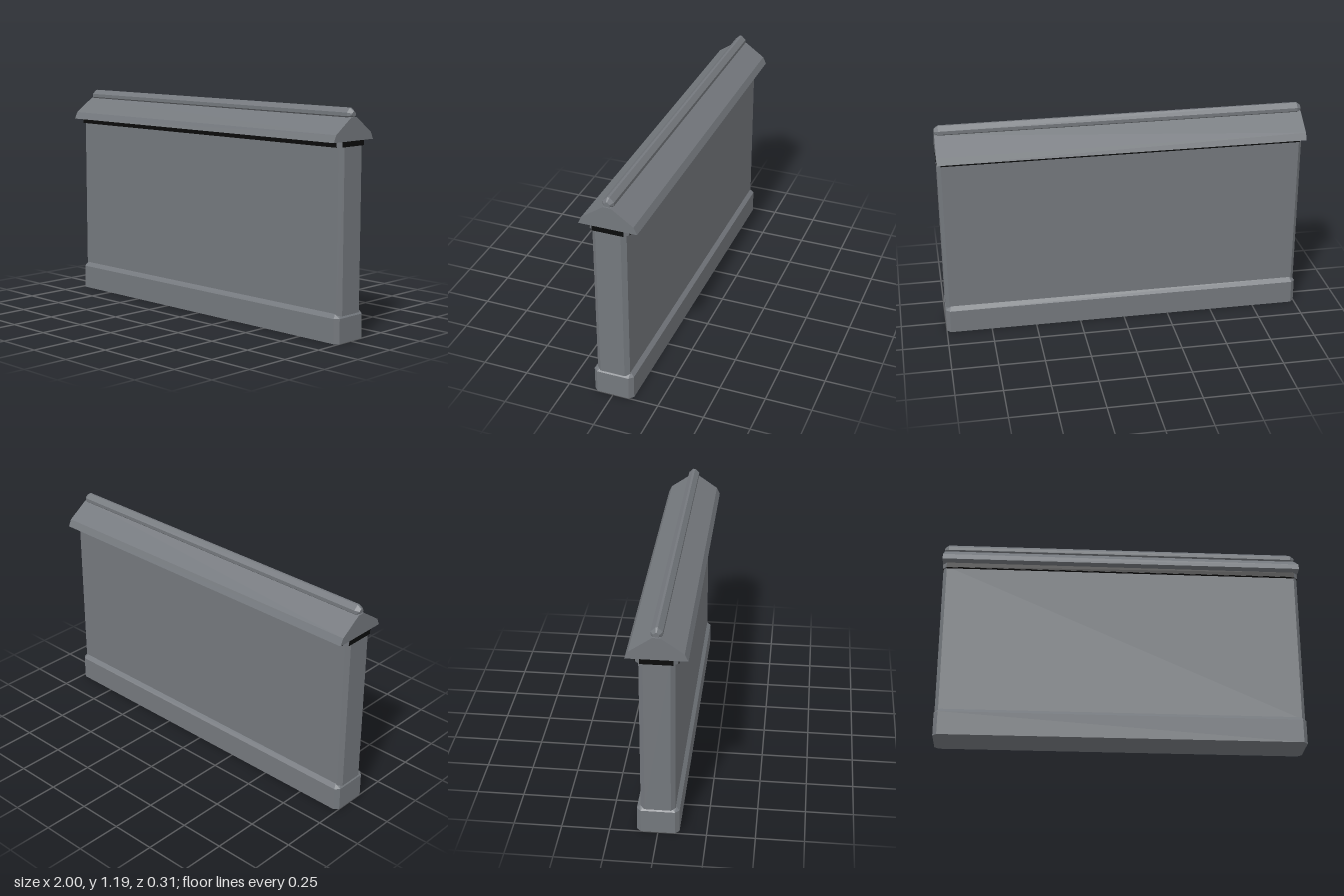
import * as THREE from 'three';
import { ConvexGeometry } from 'three/addons/geometries/ConvexGeometry.js';

const grey = new THREE.MeshStandardMaterial({ color: 0x74787d });
grey.name = 'slate grey';
const black = new THREE.MeshStandardMaterial({ color: 0x0a0b0b });
black.name = 'black trim';

// Rectangle with cut corners, lying flat at height y
function octagon(hx, hz, cx, cz, y) {
  const points = [];
  for (const sx of [-1, 1]) {
    for (const sz of [-1, 1]) {
      points.push(new THREE.Vector3(sx * (hx - cx), y, sz * hz));
      points.push(new THREE.Vector3(sx * hx, y, sz * (hz - cz)));
    }
  }
  return points;
}

// Mirrored (z, y) outline placed at x and scaled about a height
function outline(half, x, scale = 1, centreY = 0) {
  return half.flatMap(([z, y]) => [-1, 1].map((s) =>
    new THREE.Vector3(x, centreY + (y - centreY) * scale, s * z * scale)));
}

export function createModel() {
  const model = new THREE.Group();
  model.name = 'roofedWall';

  function add(name, geometry, material = grey) {
    const mesh = new THREE.Mesh(geometry, material);
    mesh.name = name;
    model.add(mesh);
    return mesh;
  }

  // Plinth with bevelled corners and top edge
  add('plinth', new ConvexGeometry([
    ...octagon(1, 0.11, 0.022, 0.022, 0),
    ...octagon(1, 0.11, 0.022, 0.022, 0.13),
    ...octagon(0.98, 0.09, 0.01, 0.022, 0.152),
  ]));

  // Main wall with bevelled vertical corners
  add('wall', new ConvexGeometry([
    ...octagon(0.998, 0.09, 0.02, 0.023, 0.14),
    ...octagon(0.998, 0.09, 0.02, 0.023, 1.01),
  ]));

  // Trim below the eaves: grey bevelled corners, black faces
  add('trimCore', new ConvexGeometry([
    ...octagon(0.998, 0.105, 0.02, 0.022, 1),
    ...octagon(0.998, 0.105, 0.02, 0.022, 1.03),
  ]));
  for (const s of [-1, 1]) {
    add('trimLongFace', new THREE.BoxGeometry(1.956, 0.027, 0.004), black)
      .position.set(0, 1.0125, s * 0.105);
    add('trimEndFace', new THREE.BoxGeometry(0.004, 0.027, 0.166), black)
      .position.set(s * 0.998, 1.0125, 0);
    add('trimUnderside', new THREE.BoxGeometry(1.956, 0.004, 0.014), black)
      .position.set(0, 1, s * 0.098);
  }

  // Pitched roof with sloped eave edges
  const roof = [[0.154, 1.026], [0.136, 1.064], [0.02, 1.145]];
  add('roof', new ConvexGeometry([...outline(roof, -1), ...outline(roof, 1)]));

  // Ridge cap with tapered ends
  const cap = [[0.022, 1.143], [0.03, 1.15], [0.03, 1.168], [0.006, 1.191]];
  add('ridgeCap', new ConvexGeometry([-1, 1].flatMap((s) => [
    ...outline(cap, s * 0.978),
    ...outline(cap, s, 0.5, 1.158),
  ])));

  return model;
}
